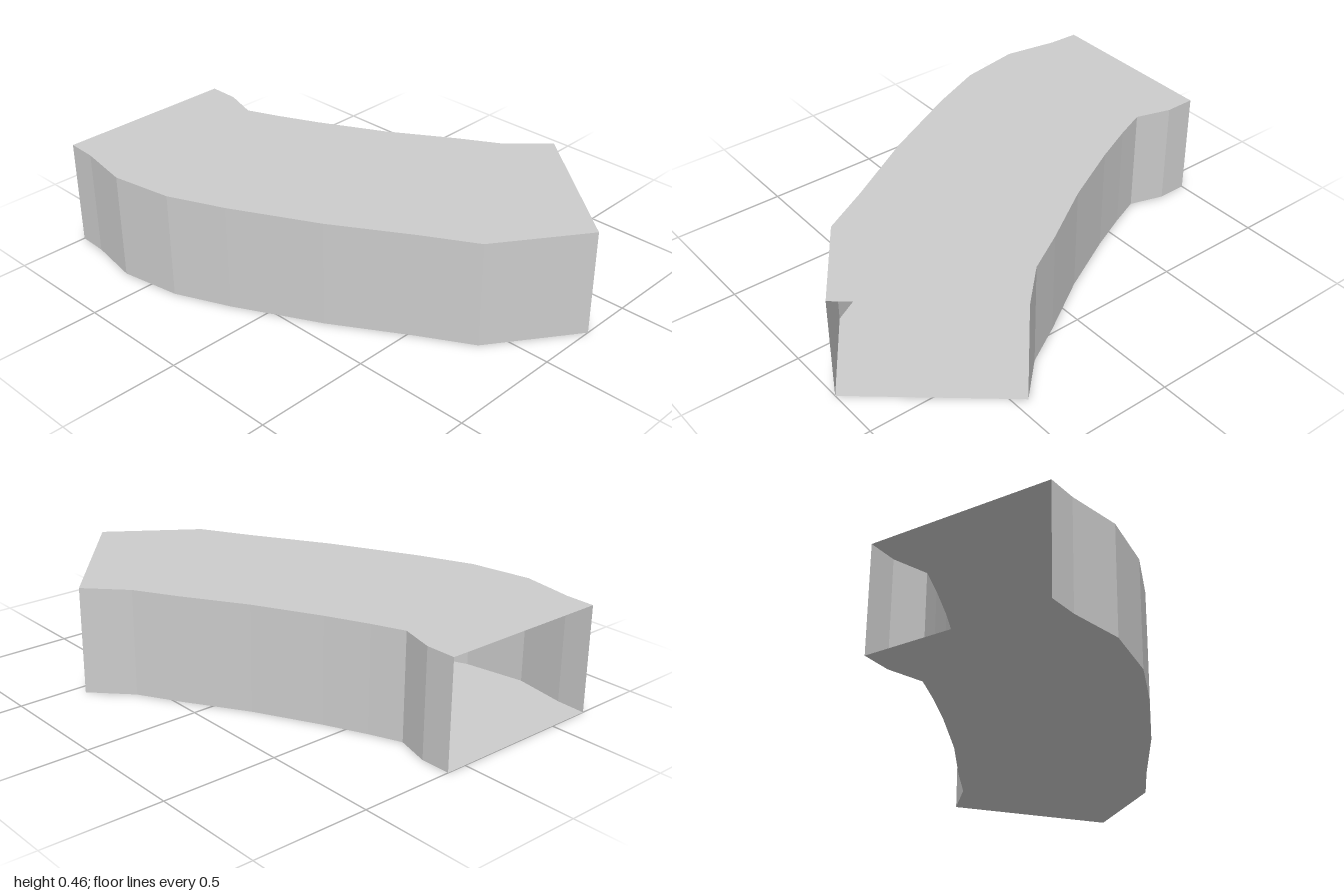
import * as THREE from 'three';

const HEIGHT = 0.46;

// Plan outline as [x, z]: right wall runs back to front, left wall front to back
const RIGHT = [[-0.69, -1], [-0.695, -0.87], [-0.735, -0.64], [-0.69, -0.375], [-0.59, -0.14],
  [-0.41, 0.215], [-0.22, 0.53], [-0.1, 0.745], [0.265, 1]];
const LEFT = [[0.73, 0.445], [0.58, 0.29], [0.48, 0.115], [0.32, -0.14], [0.18, -0.41],
  [0.1, -0.585], [0.045, -0.72], [0.09, -0.87], [0.09, -1]];

// Upright flat-faced wall following a plan path, outward side on the path's right
function wallGeometry(path) {
  const positions = [];
  for (let i = 0; i < path.length - 1; i++) {
    const [ax, az] = path[i];
    const [bx, bz] = path[i + 1];
    positions.push(ax, 0, az, bx, 0, bz, bx, HEIGHT, bz);
    positions.push(ax, 0, az, bx, HEIGHT, bz, ax, HEIGHT, az);
  }
  const geometry = new THREE.BufferGeometry();
  geometry.setAttribute('position', new THREE.Float32BufferAttribute(positions, 3));
  geometry.computeVertexNormals();
  return geometry;
}

// Flat panel filling the outline; side is 1 to face up, -1 to face down
function panelGeometry(side) {
  const points = [...RIGHT, ...LEFT].map(([x, z]) => new THREE.Vector2(x, -side * z));
  return new THREE.ShapeGeometry(new THREE.Shape(points)).rotateX(-side * Math.PI / 2);
}

export function createModel() {
  const group = new THREE.Group();
  group.name = 'curvedDuct';

  // Thin sheet shell, open at both ends
  const material = new THREE.MeshStandardMaterial({ color: 0xcccccc, side: THREE.DoubleSide, flatShading: true });
  material.name = 'light grey';

  const add = (name, geometry) => {
    const mesh = new THREE.Mesh(geometry, material);
    mesh.name = name;
    group.add(mesh);
    return mesh;
  };

  add('rightWall', wallGeometry(RIGHT));
  add('leftWall', wallGeometry(LEFT));
  add('roof', panelGeometry(1)).position.y = HEIGHT;
  add('floor', panelGeometry(-1));
  return group;
}
